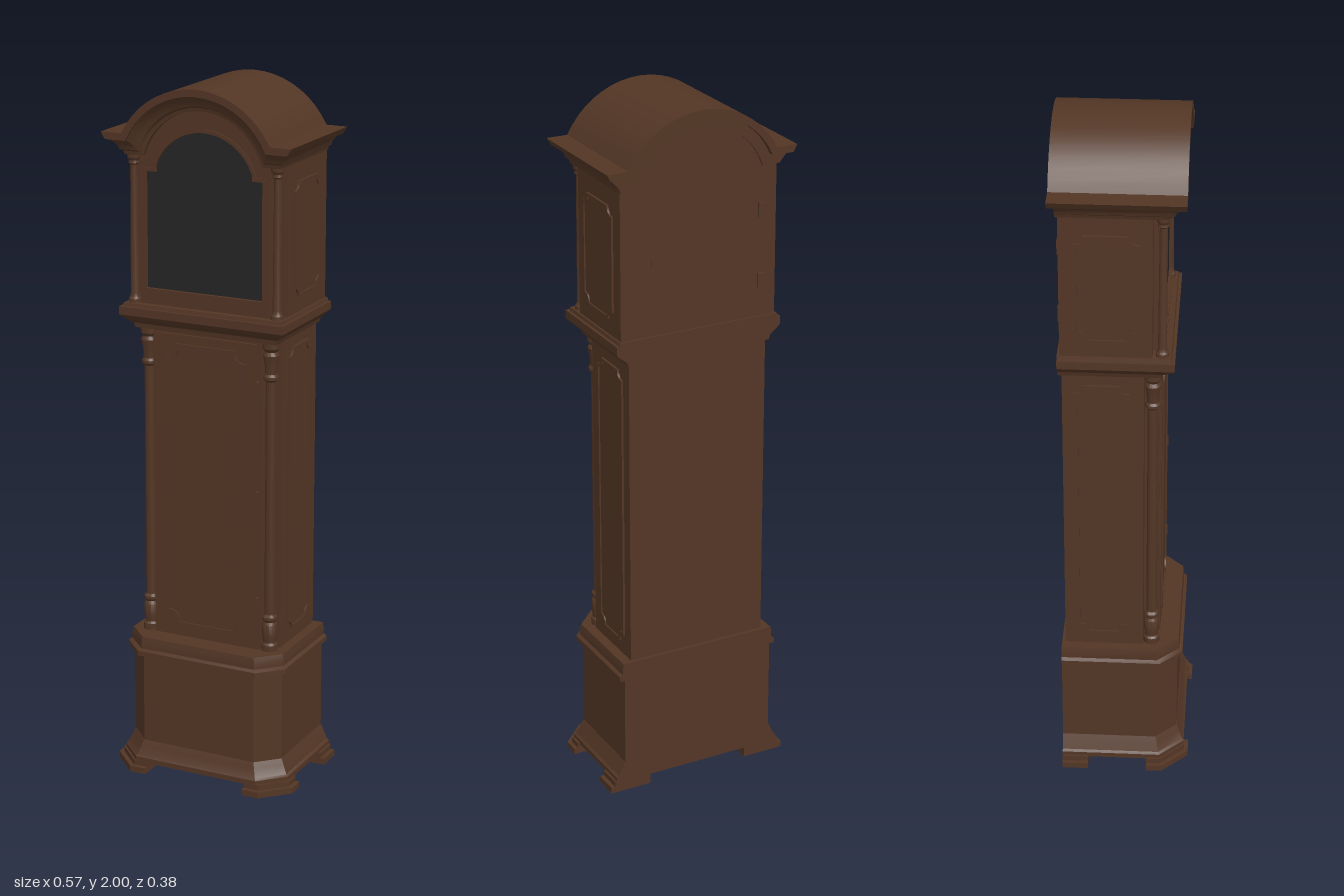
import * as THREE from 'three';
import { toCreasedNormals } from 'three/addons/utils/BufferGeometryUtils.js';

const wood = new THREE.MeshStandardMaterial({ color: 0x533625 });
wood.name = 'walnut wood';
const dark = new THREE.MeshStandardMaterial({ color: 0x252525 });
dark.name = 'dark glass';

const BACK = -0.175;

function add(parent, name, geo, mat = wood) {
  const m = new THREE.Mesh(geo, mat);
  m.name = name;
  parent.add(m);
  return m;
}

// Skin over rings of [x, y, z], listed from bottom to top
function loft(rings, closed) {
  const pos = [];
  const tri = (...p) => p.forEach((v) => pos.push(...v));
  const n = rings[0].length;
  for (let k = 0; k + 1 < rings.length; k++) {
    for (let i = 0; i < (closed ? n : n - 1); i++) {
      const j = (i + 1) % n;
      const [a, b, c, d] = [rings[k][i], rings[k][j], rings[k + 1][i], rings[k + 1][j]];
      tri(a, c, b);
      tri(b, c, d);
    }
  }
  if (closed) {
    const lo = rings[0], hi = rings[rings.length - 1];
    for (let i = 1; i + 1 < n; i++) {
      tri(lo[0], lo[i], lo[i + 1]);
      tri(hi[0], hi[i + 1], hi[i]);
    }
  }
  const g = new THREE.BufferGeometry();
  g.setAttribute('position', new THREE.Float32BufferAttribute(pos, 3));
  return toCreasedNormals(g, 0.5);
}

// Stacked moulding, flush at the back; rows are [y, halfWidth, front, chamfer]
function stack(rows) {
  return loft(rows.map(([y, x, z, c]) => [
    [x, y, BACK], [x, y, z - c], [x - c, y, z], [c - x, y, z], [-x, y, z - c], [-x, y, BACK],
  ]), true);
}

const shapeOf = (pts) => new THREE.Shape(pts.map(([x, y]) => new THREE.Vector2(x, y)));

function slab(shape, z0, z1) {
  const g = new THREE.ExtrudeGeometry(shape, { depth: z1 - z0, bevelEnabled: false, curveSegments: 6 });
  g.translate(0, 0, z0);
  return toCreasedNormals(g, 0.5);
}

// Shape lying flat in plan, given as [x, z], raised from y0 to y1
function planSlab(pts, y0, y1) {
  const g = slab(shapeOf(pts.map(([x, z]) => [x, -z])), y0, y1);
  return g.rotateX(-Math.PI / 2);
}

// Arched top outline, moved inwards by d, with flat shoulders out to halfWidth
function archPts(d, halfWidth) {
  const r = 0.25 - d, y = 1.865 - d, a0 = Math.asin((y - 1.75) / r);
  const pts = [[halfWidth, y]];
  for (let i = 0; i <= 18; i++) {
    const a = a0 + (Math.PI - 2 * a0) * i / 18;
    pts.push([r * Math.cos(a), 1.75 + r * Math.sin(a)]);
  }
  pts.push([-halfWidth, y]);
  return pts;
}

// Shouldered arch of the glazed opening, grown by o
function glassPts(o) {
  const w = 0.176 + o, r = 0.155 + o, a0 = Math.acos((0.145 + o) / r), s = 1.757 + o;
  const pts = [[-w, 1.43 - o], [w, 1.43 - o], [w, s], [0.145 + o, s]];
  for (let i = 0; i <= 16; i++) {
    const a = a0 + (Math.PI - 2 * a0) * i / 16;
    pts.push([r * Math.cos(a), 1.72 + r * Math.sin(a)]);
  }
  pts.push([-0.145 - o, s], [-w, s]);
  return pts;
}

// Raised panel with hollowed corners: bead ring around a thin field
function panel(name, w, y0, y1, cut) {
  const outline = (o) => {
    const s = new THREE.Shape(), x = w / 2 - o, a = y0 + o, b = y1 - o;
    s.moveTo(-x + cut, a).lineTo(x - cut, a).quadraticCurveTo(x - cut, a + cut, x, a + cut);
    s.lineTo(x, b - cut).quadraticCurveTo(x - cut, b - cut, x - cut, b);
    s.lineTo(cut - x, b).quadraticCurveTo(cut - x, b - cut, -x, b - cut);
    s.lineTo(-x, a + cut).quadraticCurveTo(cut - x, a + cut, cut - x, a);
    return s;
  };
  const g = new THREE.Group();
  g.name = name;
  const ring = outline(0);
  ring.holes.push(outline(0.008));
  add(g, 'panelBead', slab(ring, 0, 0.006));
  add(g, 'panelField', slab(outline(0.008), 0, 0.002));
  return g;
}

function column(parent, name, profile, x, z) {
  const g = new THREE.LatheGeometry(profile.map(([r, y]) => new THREE.Vector2(r, y)), 16);
  add(parent, name, toCreasedNormals(g, 0.6)).position.set(x, 0, z);
}

function box(parent, name, w, h, d, x, y, z) {
  add(parent, name, new THREE.BoxGeometry(w, h, d)).position.set(x, y, z);
}

export function createModel() {
  const clock = new THREE.Group();
  clock.name = 'longcaseClock';

  // Base: body, flared skirt and capping moulding
  add(clock, 'base', stack([[0.08, 0.235, 0.155, 0.06], [0.37, 0.235, 0.155, 0.06]]));
  add(clock, 'skirt', stack([
    [0.03, 0.262, 0.177, 0.07], [0.045, 0.262, 0.177, 0.07], [0.05, 0.255, 0.172, 0.067],
    [0.075, 0.244, 0.163, 0.063], [0.092, 0.236, 0.156, 0.06],
  ]));
  add(clock, 'baseMoulding', stack([
    [0.358, 0.25, 0.17, 0.064], [0.372, 0.25, 0.17, 0.064], [0.378, 0.241, 0.161, 0.062],
    [0.395, 0.241, 0.161, 0.062], [0.412, 0.238, 0.158, 0.062],
  ]));

  // Bracket feet in two steps
  for (const s of [1, -1]) {
    for (const [y0, y1, o] of [[0, 0.018, 0], [0.018, 0.034, 0.012]]) {
      const front = [[0.155, 0.19 - o], [0.205 - o / 2, 0.19 - o], [0.28 - o, 0.115 - o / 2],
        [0.28 - o, 0.07], [0.2, 0.07], [0.155, 0.115]];
      const rear = [[0.19, -0.1], [0.28 - o, -0.1], [0.28 - o, BACK], [0.155, BACK], [0.155, -0.14]];
      for (const [name, pts] of [['frontFoot', front], ['rearFoot', rear]]) {
        add(clock, name, planSlab(pts.map(([x, z]) => [s * x, z]), y0, y1));
      }
    }
  }

  // Trunk with notched front corners
  add(clock, 'trunk', planSlab([
    [0.21, -0.165], [0.21, 0.057], [0.165, 0.057], [0.165, 0.098], [-0.165, 0.098],
    [-0.165, 0.057], [-0.21, 0.057], [-0.21, -0.165],
  ], 0.4, 1.33));
  box(clock, 'trunkDoor', 0.31, 0.88, 0.008, 0, 0.865, 0.1);
  const doorPanel = panel('trunkDoorPanel', 0.25, 0.45, 1.28, 0.035);
  doorPanel.position.z = 0.103;
  clock.add(doorPanel);
  for (const y of [0.555, 0.87, 1.185]) box(clock, 'trunkDoorHinge', 0.008, 0.03, 0.012, 0.159, y, 0.104);

  // Turned columns of the trunk
  const trunkColumn = [
    [0, 0.41], [0.023, 0.41], [0.023, 0.43], [0.018, 0.436], [0.021, 0.455], [0.021, 0.49],
    [0.016, 0.498], [0.021, 0.505], [0.021, 0.513], [0.015, 0.52], [0.014, 1.2], [0.021, 1.207],
    [0.021, 1.215], [0.016, 1.222], [0.018, 1.25], [0.023, 1.275], [0.017, 1.285], [0.024, 1.295],
    [0.024, 1.32], [0, 1.32],
  ];
  // Slender columns of the hood
  const hoodColumn = [
    [0, 1.38], [0.018, 1.38], [0.018, 1.395], [0.014, 1.4], [0.012, 1.41], [0.01, 1.77],
    [0.015, 1.775], [0.013, 1.782], [0.018, 1.79], [0.018, 1.802], [0, 1.802],
  ];

  // Side panels and columns, mirrored
  for (const s of [1, -1]) {
    column(clock, 'trunkColumn', trunkColumn, s * 0.188, 0.08);
    column(clock, 'hoodColumn', hoodColumn, s * 0.217, 0.106);
    const low = panel('trunkSidePanel', 0.148, 0.45, 1.28, 0.025);
    low.position.set(s * 0.21, 0, -0.056);
    const high = panel('hoodSidePanel', 0.172, 1.43, 1.75, 0.025);
    high.position.set(s * 0.235, 0, -0.042);
    for (const p of [low, high]) {
      p.rotation.y = s * Math.PI / 2;
      clock.add(p);
    }
  }

  // Moulding between trunk and hood
  add(clock, 'trunkMoulding', stack([
    [1.312, 0.216, 0.108, 0], [1.325, 0.22, 0.11, 0], [1.335, 0.232, 0.122, 0], [1.345, 0.245, 0.135, 0],
    [1.352, 0.25, 0.14, 0], [1.375, 0.25, 0.14, 0], [1.375, 0.242, 0.132, 0], [1.385, 0.24, 0.13, 0],
  ]));

  // Hood body and arched glazed front
  const body = [...archPts(0.03, 0.235), [-0.235, 1.375], [0.235, 1.375]];
  add(clock, 'hoodBody', slab(shapeOf(body), -0.168, 0.08));
  const front = shapeOf([...archPts(0.06, 0.195), [-0.195, 1.38], [0.195, 1.38]]);
  front.holes.push(shapeOf(glassPts(0)));
  add(clock, 'hoodDoor', slab(front, 0.08, 0.112));
  const bead = shapeOf(glassPts(0.01));
  bead.holes.push(shapeOf(glassPts(0)));
  add(clock, 'glazingBead', slab(bead, 0.112, 0.116));
  add(clock, 'glass', slab(shapeOf(glassPts(0)), 0.1, 0.106), dark);

  // Cornice mitred round the sides and swept over the arch
  const rows = [
    [0.065, 0.2, 0.08], [0.065, 0.235, 0.125], [0.055, 0.238, 0.128], [0.05, 0.245, 0.135],
    [0.038, 0.249, 0.14], [0.028, 0.258, 0.15], [0.018, 0.272, 0.163],
  ];
  add(clock, 'cornice', loft(rows.map(([d, x, z]) => {
    const y = 1.865 - d;
    return [[x, y, BACK], ...archPts(d, x).map((p) => [...p, z]), [-x, y, BACK]];
  }), false));

  // Arched roof shell
  const roof = [...archPts(0, 0.284), ...archPts(0.02, 0.272).reverse()];
  add(clock, 'roof', slab(shapeOf(roof), -0.193, 0.168));
  const backRim = [...archPts(0.015, 0.27), ...archPts(0.05, 0.24).reverse()];
  add(clock, 'roofBackRim', slab(shapeOf(backRim), BACK, -0.16));

  // Small fittings on the hood back
  for (const y of [1.49, 1.69]) box(clock, 'backHinge', 0.02, 0.04, 0.012, -0.19, y, -0.168);
  box(clock, 'backCatch', 0.008, 0.025, 0.008, 0.14, 1.59, -0.168);

  return clock;
}
